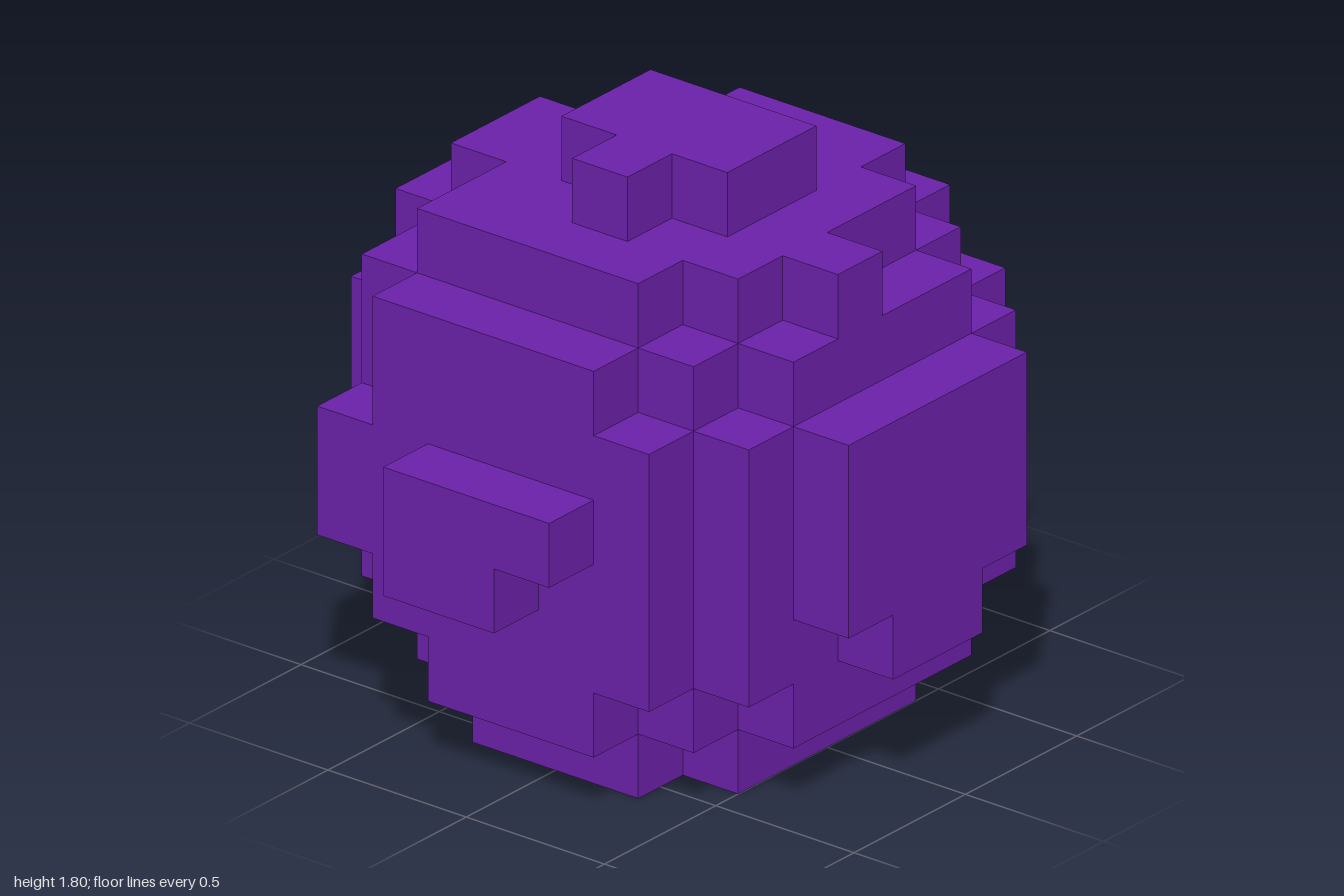
import * as THREE from 'three';
import { mergeGeometries } from 'three/addons/utils/BufferGeometryUtils.js';

const CELL = 0.2;

// Each part is a list of blocks in cells: x0, x1, y0, y1, z0, z1
const PARTS = {
  base: [
    [-2, 2, 0, 1, 2, 7], [-3, 3, 0, 1, 3, 6],
    [-2, 2, 1, 2, 1, 8], [-3, 3, 1, 2, 2, 7], [-4, 4, 1, 2, 3, 6],
  ],
  body: [
    [-3, 3, 2, 6, 1, 8], [-4, 4, 2, 6, 2, 7],
    [3, 4, 4, 5, 1, 2], [-4, -3, 3, 5, 1, 2], // rear corner bumps
  ],
  shoulder: [
    [-2, 2, 6, 7, 7, 8], [-3, 3, 6, 7, 1, 7], [-4, 3, 6, 7, 2, 3], [-4, 4, 6, 7, 3, 6],
  ],
  crown: [
    [-1, 0, 7, 8, 7, 8], [-2, 2, 7, 8, 6, 7], [-3, 3, 7, 8, 3, 6],
    [-3, 2, 7, 8, 2, 3], [-1, 1, 7, 8, 1, 2],
  ],
  topCap: [[-1, 1, 8, 9, 3, 6], [-2, -1, 8, 9, 4, 5]],
  frontPlate: [[-2, 2, 3, 6, 8, 9], [-1, 1, 2, 3, 8, 9]],
  backPlate: [[-2, 2, 2, 6, 0, 1], [-1, 1, 6, 7, 0, 1]],
  leftKnob: [[4, 5, 3, 5, 4, 5]],
  rightKnob: [[-5, -4, 4, 5, 3, 6], [-5, -4, 3, 4, 3, 5]],
};

const DIRECTIONS = [[1, 0, 0], [-1, 0, 0], [0, 1, 0], [0, -1, 0], [0, 0, 1], [0, 0, -1]];
const key = (x, y, z) => `${x},${y},${z}`;

// Unique cells covered by a list of blocks
function fillCells(blocks) {
  const cells = new Map();
  for (const [x0, x1, y0, y1, z0, z1] of blocks)
    for (let x = x0; x < x1; x++)
      for (let y = y0; y < y1; y++)
        for (let z = z0; z < z1; z++) cells.set(key(x, y, z), [x, y, z]);
  return cells;
}

// One square on the side of a cell, facing outwards
function cellFace([x, y, z], dir) {
  const normal = new THREE.Vector3(...dir);
  const turn = new THREE.Quaternion().setFromUnitVectors(new THREE.Vector3(0, 0, 1), normal);
  if (dir[2] === -1) turn.setFromAxisAngle(new THREE.Vector3(0, 1, 0), Math.PI);
  const centre = new THREE.Vector3(x + 0.5, y + 0.5, z - 4).multiplyScalar(CELL);
  return new THREE.PlaneGeometry(CELL, CELL)
    .applyQuaternion(turn)
    .translate(...centre.addScaledVector(normal, CELL / 2).toArray());
}

export function createModel() {
  const group = new THREE.Group();
  group.name = 'blockyBall';
  const purple = new THREE.MeshStandardMaterial({ color: 0x6b21a8 });
  purple.name = 'purple';

  const solid = fillCells(Object.values(PARTS).flat());

  // Only the exposed sides of each part are built
  for (const [name, blocks] of Object.entries(PARTS)) {
    const faces = [];
    for (const cell of fillCells(blocks).values())
      for (const dir of DIRECTIONS)
        if (!solid.has(key(...cell.map((v, i) => v + dir[i])))) faces.push(cellFace(cell, dir));
    const mesh = new THREE.Mesh(mergeGeometries(faces), purple);
    mesh.name = name;
    group.add(mesh);
  }
  return group;
}
